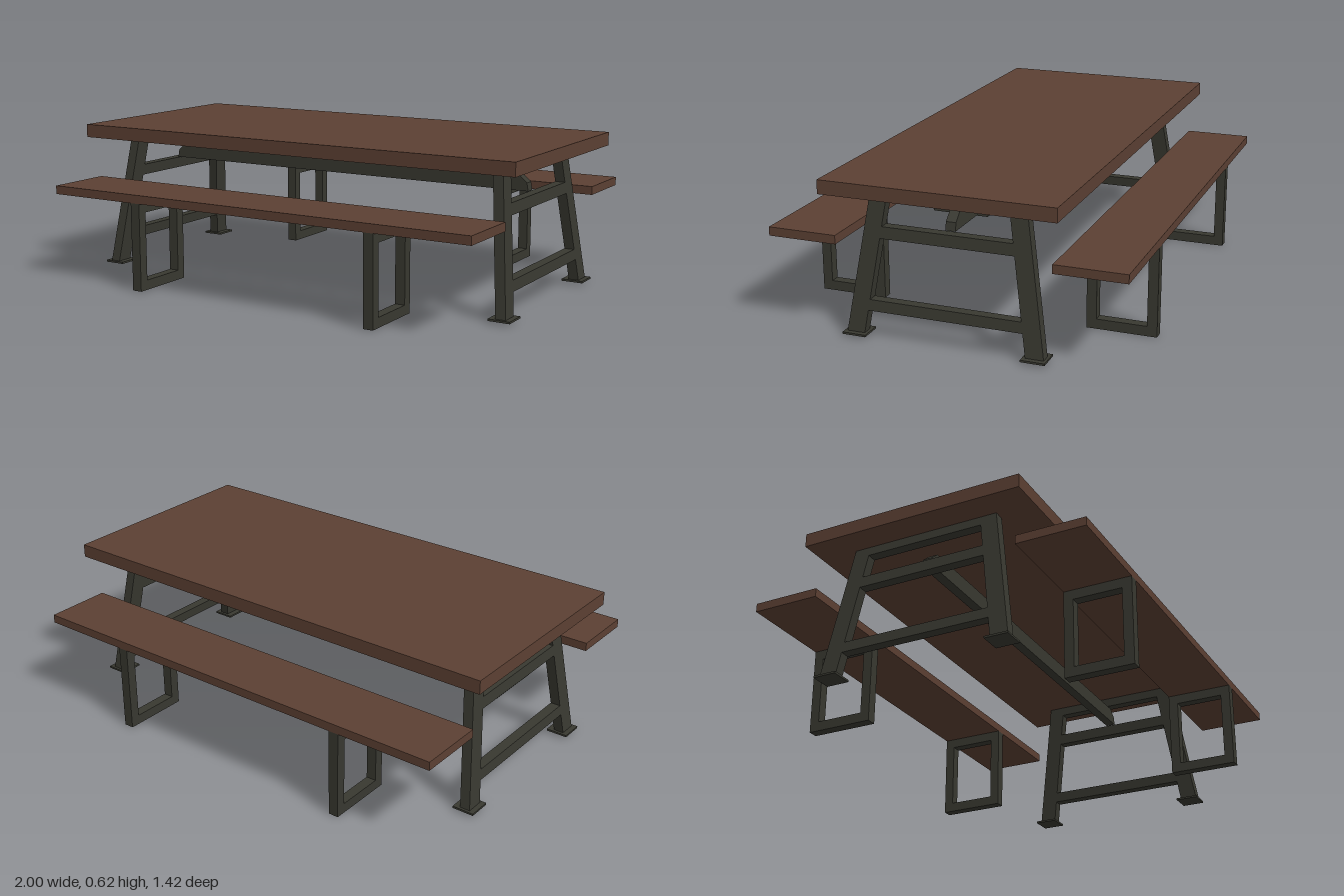
import * as THREE from 'three';

export function createModel() {
  const model = new THREE.Group();
  const wood = new THREE.MeshStandardMaterial({ color: 0x5c4033 });
  wood.name = 'brown wood';
  const steel = new THREE.MeshStandardMaterial({ color: 0x383830 });
  steel.name = 'dark steel';

  const add = (name, geometry, material) => {
    const mesh = new THREE.Mesh(geometry, material);
    mesh.name = name;
    model.add(mesh);
    return mesh;
  };
  // Box given by its limits on each axis
  const box = (name, x, y, z, material) =>
    add(name, new THREE.BoxGeometry(x[1] - x[0], y[1] - y[0], z[1] - z[0]), material)
      .position.set((x[0] + x[1]) / 2, (y[0] + y[1]) / 2, (z[0] + z[1]) / 2);
  const points = (list) => list.map(([a, b]) => new THREE.Vector2(a, b));
  // Profile in the z-y plane, extruded along x and centred
  const sideExtrude = (outline, holes, depth) => {
    const shape = new THREE.Shape(points(outline));
    holes.forEach((h) => shape.holes.push(new THREE.Path(points(h))));
    const g = new THREE.ExtrudeGeometry(shape, { depth, bevelEnabled: false });
    return g.translate(0, 0, -depth / 2).rotateY(-Math.PI / 2);
  };

  // Table top
  box('tableTop', [-1, 1], [0.567, 0.622], [-0.464, 0.464], wood);

  // Splayed end frames: legs with three crossbars
  const outer = (y) => 0.395 - (y - 0.015) * 0.156;
  const inner = (y) => 0.323 - (y - 0.015) * 0.15;
  const opening = (a, b) => [[-inner(a), a], [inner(a), a], [inner(b), b], [-inner(b), b]];
  const bottom = 0.015, top = 0.567, low = 0.107;
  const outline = [
    [-outer(bottom), bottom], [-inner(bottom), bottom], [-inner(low), low],
    [inner(low), low], [inner(bottom), bottom], [outer(bottom), bottom],
    [outer(top), top], [-outer(top), top],
  ];
  for (const s of [-1, 1]) {
    const g = sideExtrude(outline, [opening(0.15, 0.387), opening(0.433, 0.53)], 0.042);
    // Lean the frame inwards towards the top
    const p = g.attributes.position;
    for (let i = 0; i < p.count; i++) {
      p.setX(i, p.getX(i) + s * (0.923 - (p.getY(i) - bottom) * 0.113));
    }
    g.computeVertexNormals();
    add('tableEndFrame', g, steel);
    // Foot plates
    for (const f of [-1, 1]) {
      const plate = new THREE.BoxGeometry(0.09, 0.008, 0.095);
      add('footPlate', plate, steel).position.set(s * 0.92, 0.014, f * 0.358);
    }
  }

  // Long stretcher with chamfered upper ends
  const beam = new THREE.Shape(points([
    [-0.858, 0.435], [0.858, 0.435], [0.852, 0.468], [0.815, 0.5], [-0.815, 0.5], [-0.852, 0.468],
  ]));
  add('stretcher', new THREE.ExtrudeGeometry(beam, { depth: 0.04, bevelEnabled: false })
    .translate(0, 0, -0.02), steel);

  // Benches, each on two rectangular loop legs
  for (const f of [-1, 1]) {
    const z = f * 0.568;
    box('benchSeat', [-0.96, 0.95], [0.36, 0.395], [z - 0.14, z + 0.14], wood);
    for (const s of [-1, 1]) {
      const loop = sideExtrude(
        [[-0.14, 0], [0.14, 0], [0.14, 0.36], [-0.14, 0.36]],
        [[[-0.1, 0.04], [0.1, 0.04], [0.1, 0.32], [-0.1, 0.32]]], 0.042);
      add('benchLeg', loop, steel).position.set(s * 0.54, 0, z);
    }
  }
  return model;
}
